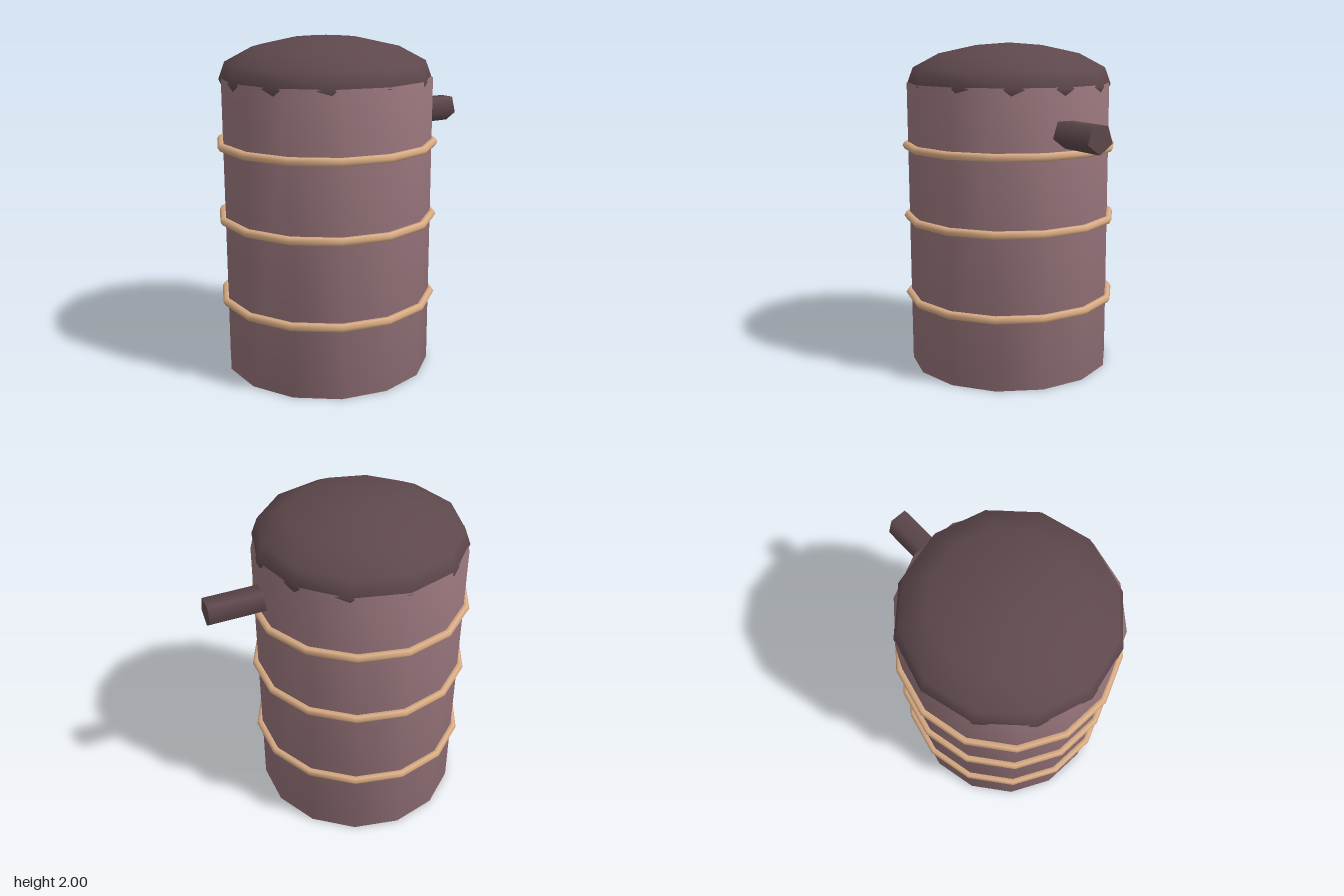
import * as THREE from 'three';
import { mergeVertices } from 'three/addons/utils/BufferGeometryUtils.js';

const mat = (name, color) => {
  const m = new THREE.MeshStandardMaterial({ color });
  m.name = name;
  return m;
};

// Weld every corner so the shading runs smoothly over all edges
function smooth(geometry) {
  geometry.deleteAttribute('uv');
  geometry.deleteAttribute('normal');
  const welded = mergeVertices(geometry, 1e-4);
  welded.computeVertexNormals();
  return welded;
}

export function createModel() {
  const model = new THREE.Group();
  const mauve = mat('mauve', 0x957379);
  const darkBrown = mat('dark brown', 0x5e484c);
  const tan = mat('tan', 0xdcae86);
  const add = (name, geometry, material, x, y, z) => {
    const mesh = new THREE.Mesh(geometry, material);
    mesh.name = name;
    mesh.position.set(x, y, z);
    model.add(mesh);
  };
  const cx = -0.145; // barrel axis, offset to balance the spout

  // Fourteen-sided barrel
  add('barrel', smooth(new THREE.CylinderGeometry(0.626, 0.626, 1.76, 14)), mauve, cx, 0.88, 0);

  // Low domed lid, its rim tucked slightly over the barrel
  const profile = [
    [0, -0.12], [0.5, -0.12], [0.605, -0.05], [0.627, 0], [0.59, 0.1],
    [0.43, 0.185], [0.2, 0.235], [0, 0.25],
  ].map(([r, y]) => new THREE.Vector2(r, y));
  add('lid', smooth(new THREE.LatheGeometry(profile, 12)), darkBrown, cx, 1.75, 0);

  // Three hoops around the barrel, corners in line with the barrel's
  for (const y of [0.44, 0.94, 1.38]) {
    const hoop = new THREE.TorusGeometry(0.636, 0.025, 6, 14);
    hoop.rotateX(Math.PI / 2).rotateY(Math.PI / 2);
    add('hoop', hoop, tan, cx, y, 0);
  }

  // Five-sided spout, one corner pointing down
  const spout = new THREE.CylinderGeometry(0.086, 0.086, 0.39, 5);
  spout.rotateY(Math.PI / 2).rotateZ(-Math.PI / 2);
  add('spout', spout, darkBrown, 0.6, 1.503, 0);

  return model;
}
